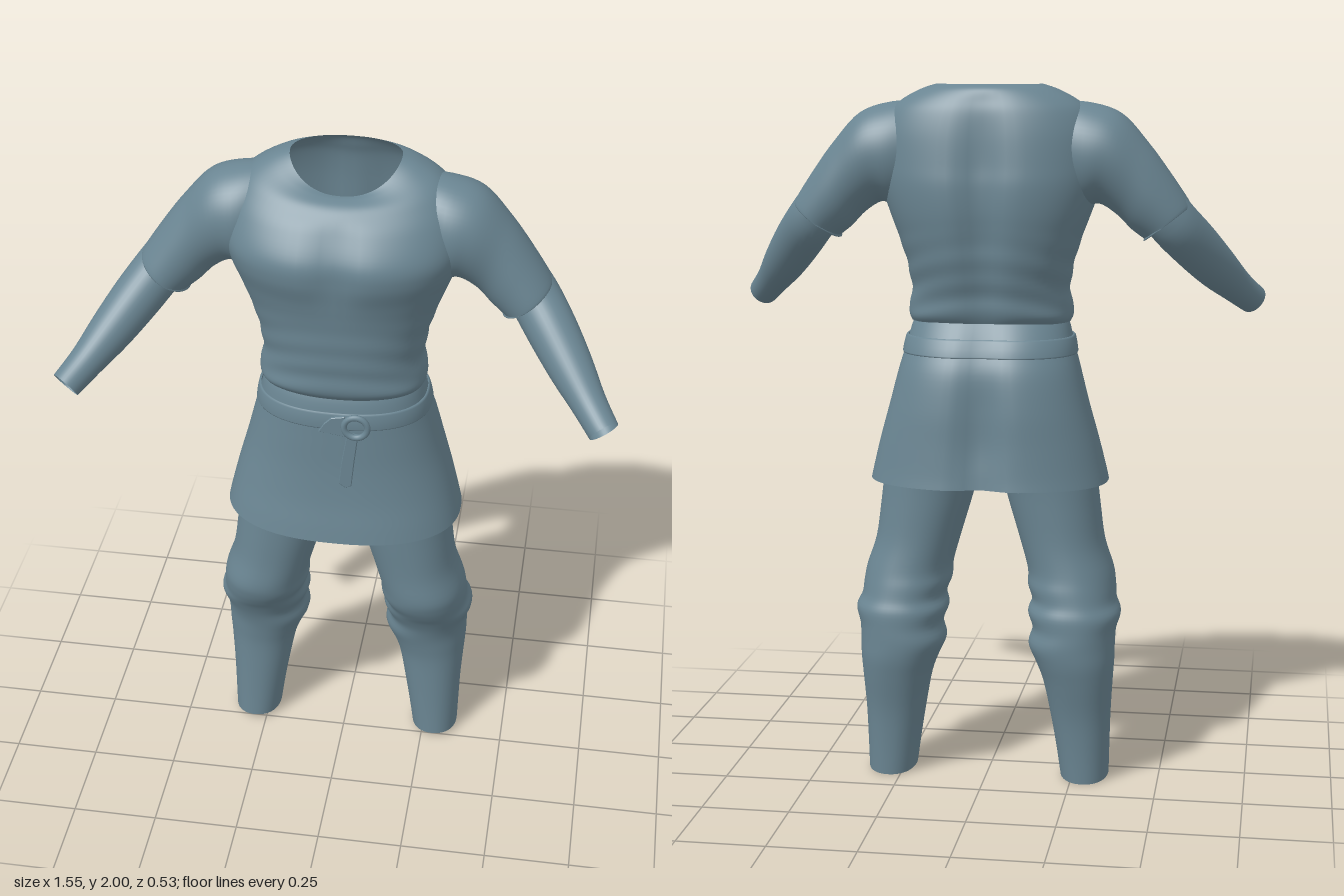
import * as THREE from 'three';

const cloth = new THREE.MeshStandardMaterial({ color: 0x6a8592, side: THREE.DoubleSide });

// Cubic interpolation between rows of section values
function sampleRow(rows, t) {
  const last = rows.length - 1;
  const i = Math.min(Math.floor(t), last - 1), f = t - i;
  const at = k => rows[Math.max(0, Math.min(last, k))];
  return rows[0].map((_, c) => {
    const p0 = at(i - 1)[c], p1 = at(i)[c], p2 = at(i + 1)[c], p3 = at(i + 2)[c];
    return p1 + 0.5 * f * (p2 - p0 + f * (2 * p0 - 5 * p1 + 4 * p2 - p3 + f * (3 * (p1 - p2) + p3 - p0)));
  });
}

// Skin a closed ring along rows; place(row, angle) gives [x, y, z]
function loft(name, rows, place, steps = 4, segs = 56) {
  const rings = (rows.length - 1) * steps, pos = [], idx = [];
  for (let j = 0; j <= rings; j++) {
    const row = sampleRow(rows, j / steps);
    for (let i = 0; i < segs; i++) pos.push(...place(row, (i / segs) * Math.PI * 2));
  }
  for (let j = 0; j < rings; j++) {
    for (let i = 0; i < segs; i++) {
      const a = j * segs + i, b = j * segs + (i + 1) % segs;
      idx.push(a, b, a + segs, b, b + segs, a + segs);
    }
  }
  const g = new THREE.BufferGeometry();
  g.setAttribute('position', new THREE.Float32BufferAttribute(pos, 3));
  g.setIndex(idx);
  g.computeVertexNormals();
  return named(new THREE.Mesh(g, cloth), name);
}

function named(object, name) {
  object.name = name;
  return object;
}

const power = (v, e) => Math.sign(v) * Math.abs(v) ** e;

// Body ring: [y, halfWidth, front z, back z, front drop, front groove, back groove]
function bodyRing(e, ripple = 0, grow = 0) {
  return ([y, w, f, b, drop, gf, gb], a) => {
    const c = Math.cos(a), s = Math.sin(a), mid = (f + b) / 2;
    const fold = 1 + ripple * Math.max(0, Math.min(1, (1.62 - y) * 6)) * Math.sin(y * 85 + 2.5 * Math.cos(a * 2));
    const x = (w + grow) * power(c, e) * fold;
    let z = mid + ((f - b) / 2 + grow) * power(s, e) * fold;
    const dip = Math.exp(-((x / 0.055) ** 2));
    z += s > 0 ? -gf * dip : gb * dip;
    return [x, y - drop * Math.max(0, s) ** 1.5, z];
  };
}

const torsoRows = [
  [1.335, .228, .135, -.16, 0, 0, .01],
  [1.36, .238, .15, -.175, 0, 0, .015],
  [1.42, .226, .153, -.188, 0, 0, .02],
  [1.5, .237, .16, -.212, 0, 0, .025],
  [1.58, .262, .166, -.226, 0, 0, .03],
  [1.65, .288, .18, -.235, 0, .005, .03],
  [1.72, .312, .2, -.236, 0, .018, .03],
  [1.78, .322, .196, -.228, 0, .018, .028],
  [1.86, .312, .152, -.215, .01, .01, .02],
  [1.92, .285, .115, -.2, .03, 0, .012],
  [1.955, .25, .092, -.185, .045, 0, .008],
  [1.985, .195, .066, -.165, .066, 0, 0],
  [2.0, .15, .05, -.145, .08, 0, 0],
];

const skirtRows = [
  [1.38, .2, .11, -.13, 0, 0, .01],
  [1.33, .224, .134, -.165, 0, 0, .01],
  [1.27, .24, .145, -.2, 0, 0, .015],
  [1.2, .26, .149, -.233, 0, 0, .02],
  [1.1, .286, .154, -.25, 0, 0, .032],
  [1.0, .314, .165, -.256, 0, 0, .035],
  [.92, .334, .18, -.262, 0, 0, .03],
  [.88, .343, .188, -.267, .005, 0, .03],
];

// Leg rows: [y, inner x, outer x, front z, back z, back drop]
const legRows = [
  [0.02, .215, .355, .02, -.166, .018],
  [.1, .202, .357, .017, -.172, 0],
  [.2, .185, .36, .015, -.183, 0],
  [.3, .165, .366, .015, -.205, 0],
  [.36, .143, .37, .022, -.218, 0],
  [.41, .122, .371, .032, -.222, 0],
  [.455, .133, .374, .045, -.22, 0],
  [.5, .118, .386, .066, -.217, 0],
  [.535, .128, .372, .088, -.205, 0],
  [.575, .114, .368, .108, -.197, 0],
  [.62, .112, .36, .118, -.186, 0],
  [.7, .09, .334, .114, -.176, 0],
  [.8, .06, .32, .115, -.174, 0],
  [.88, .036, .31, .116, -.175, 0],
  [.96, .002, .295, .118, -.18, 0],
  [1.1, 0, .255, .115, -.18, 0],
];
const legRing = ([y, inner, outer, f, b, drop], a) => {
  const s = Math.sin(a);
  return [(inner + outer) / 2 + (outer - inner) / 2 * power(Math.cos(a), .92),
    y - drop * (1 - s) / 2, (f + b) / 2 + (f - b) / 2 * power(s, .92)];
};

// Sleeve rows: [top x, top y, bottom x, bottom y, front z, back z]
const sleeveRows = [
  [.18, 1.955, .2, 1.68, .05, -.15],
  [.28, 1.95, .265, 1.66, .085, -.17],
  [.37, 1.92, .31, 1.67, .08, -.167],
  [.445, 1.84, .36, 1.64, .062, -.152],
  [.505, 1.76, .4, 1.6, .062, -.143],
  [.562, 1.675, .436, 1.572, .066, -.13],
  [.556, 1.668, .434, 1.568, .062, -.126],
  [.54, 1.685, .44, 1.595, .045, -.11],
];
const sleeveRing = ([tx, ty, bx, by, f, b], a) => {
  const c = Math.cos(a), s = Math.sin(a);
  return [(tx + bx) / 2 + (tx - bx) / 2 * s, (ty + by) / 2 + (ty - by) / 2 * s, (f + b) / 2 - (f - b) / 2 * c];
};

// Forearm rows: [x, y, z, radius], rings square to the arm's direction
const armRows = [
  [.46, 1.69, -.05, .072],
  [.515, 1.62, -.035, .072],
  [.575, 1.55, .028, .07],
  [.635, 1.48, .1, .062],
  [.69, 1.42, .172, .049],
  [.737, 1.375, .235, .043],
];
const along = new THREE.Vector3(.55, -.55, .63).normalize();
const across = new THREE.Vector3(0, 1, 0).cross(along).normalize();
const upward = along.clone().cross(across);
const armRing = ([x, y, z, r], a) => new THREE.Vector3(x, y, z)
  .addScaledVector(across, r * Math.cos(a)).addScaledVector(upward, r * Math.sin(a)).toArray();

function flatPiece(name, points, depth) {
  const shape = new THREE.Shape(points.map(p => new THREE.Vector2(...p)));
  const g = new THREE.ExtrudeGeometry(shape, { depth, bevelEnabled: true, bevelSize: .002, bevelThickness: .002, bevelSegments: 1 });
  return named(new THREE.Mesh(g, cloth), name);
}

export function createModel() {
  const model = named(new THREE.Group(), 'clothedFigure');

  // Tunic: shirt body and open skirt
  model.add(loft('tunicBody', torsoRows, bodyRing(.88, .009), 6, 72));
  model.add(loft('tunicSkirt', [...skirtRows].reverse(), bodyRing(.84), 5, 72));

  // Belt with ring buckle, hanging strap and side loop
  const beltRows = [
    [1.247, .247, .148, -.212, 0, 0, .015],
    [1.25, .251, .153, -.216, 0, 0, .015],
    [1.292, .243, .149, -.196, 0, 0, .014],
    [1.296, .236, .143, -.19, 0, 0, .014],
  ];
  model.add(loft('belt', beltRows, bodyRing(.84), 2, 72));
  const buckle = named(new THREE.Mesh(new THREE.TorusGeometry(.033, .009, 10, 32), cloth), 'beltBuckle');
  buckle.position.set(.058, 1.262, .157);
  const strap = flatPiece('beltStrap', [[.035, 1.235], [.02, 1.14], [.013, 1.07], [.03, 1.058], [.045, 1.065], [.052, 1.14], [.063, 1.235]], .01);
  strap.position.z = .149;
  const loop = flatPiece('beltLoop', [[-.045, 1.24], [.025, 1.23], [.025, 1.292], [-.01, 1.285], [-.03, 1.265]], .008);
  loop.position.z = .147;
  model.add(buckle, strap, loop);

  // Paired limbs, mirrored across x
  for (const [side, sign] of [['left', 1], ['right', -1]]) {
    const limbs = named(new THREE.Group(), side + 'Limbs');
    const mirrored = ring => (row, a) => {
      const [x, y, z] = ring(row, sign * a);
      return [sign * x, y, z];
    };
    limbs.add(
      loft(side + 'Sleeve', sleeveRows, mirrored(sleeveRing), 5),
      loft(side + 'Forearm', armRows, mirrored(armRing), 4, 36),
      loft(side + 'TrouserLeg', legRows, mirrored(legRing)),
    );
    model.add(limbs);
  }
  // Outward winding for rings that run the other way round
  model.traverse(o => {
    if (!o.isMesh || !o.geometry.index || o === buckle) return;
    const p = o.geometry.attributes.position, n = o.geometry.attributes.normal;
    const centre = new THREE.Box3().setFromBufferAttribute(p).getCenter(new THREE.Vector3());
    const v = new THREE.Vector3(), m = new THREE.Vector3();
    let out = 0;
    for (let i = 0; i < p.count; i++) out += v.fromBufferAttribute(p, i).sub(centre).dot(m.fromBufferAttribute(n, i));
    if (out >= 0) return;
    o.geometry.index.array.reverse();
    o.geometry.computeVertexNormals();
  });
  return model;
}
